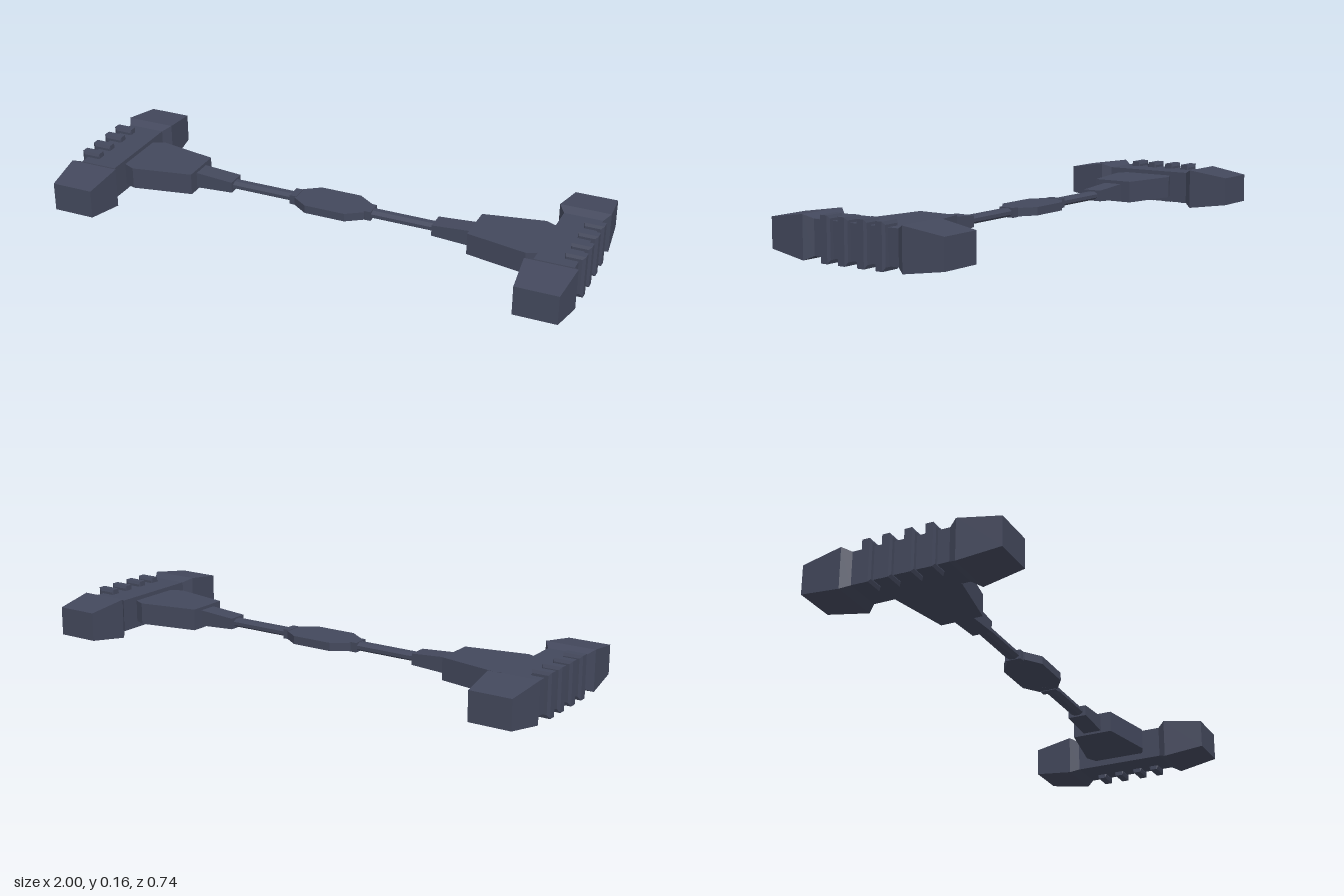
import * as THREE from 'three';

const darkSlate = new THREE.MeshStandardMaterial({ color: 0x43485c, flatShading: true });
darkSlate.name = 'darkSlate';

// Rectangular cross-sections [z, x0, x1, y0, y1] in order of rising z, joined and capped.
function loftZ(rings) {
  const corners = rings.map(([z, x0, x1, y0, y1]) => [[x0, y0, z], [x1, y0, z], [x1, y1, z], [x0, y1, z]]);
  const pos = [];
  const quad = (a, b, c, d) => pos.push(...a, ...b, ...c, ...a, ...c, ...d);
  for (let i = 0; i < corners.length - 1; i++) {
    const p = corners[i], q = corners[i + 1];
    for (let k = 0; k < 4; k++) {
      const n = (k + 1) % 4;
      quad(p[k], p[n], q[n], q[k]);
    }
  }
  const [a, b, c, d] = corners[0];
  quad(d, c, b, a);
  quad(...corners[corners.length - 1]);
  const geo = new THREE.BufferGeometry();
  geo.setAttribute('position', new THREE.Float32BufferAttribute(pos, 3));
  geo.computeVertexNormals();
  return geo;
}

// Outline [x, z] extruded upright from y0 to y1.
function slab(points, y0, y1) {
  const shape = new THREE.Shape(points.map(([x, z]) => new THREE.Vector2(x, -z)));
  const geo = new THREE.ExtrudeGeometry(shape, { depth: y1 - y0, bevelEnabled: false });
  return geo.rotateX(-Math.PI / 2).translate(0, y0, 0);
}

function add(parent, name, geo) {
  const mesh = new THREE.Mesh(geo, darkSlate);
  mesh.name = name;
  parent.add(mesh);
  return mesh;
}

function createEnd(name) {
  const end = new THREE.Group();
  end.name = name;

  // Cross bar with flared, tapering tips
  const half = [
    [0.368, 0.82, 0.98, 0.024, 0.133],
    [0.212, 0.805, 0.996, 0.002, 0.156],
    [0.18, 0.83, 0.975, 0.017, 0.141],
  ];
  const mirrored = half.map(([z, ...r]) => [-z, ...r]);
  add(end, 'crossBar', loftZ([...mirrored, ...half.slice().reverse()]));

  // Grip ribs with chamfered edges on the outer side
  for (const z of [-0.118, -0.041, 0.041, 0.116]) {
    add(end, 'gripRib', loftZ([
      [z - 0.019, 0.928, 0.988, 0.014, 0.15],
      [z - 0.014, 0.925, 0.999, 0.001, 0.161],
      [z + 0.014, 0.925, 0.999, 0.001, 0.161],
      [z + 0.019, 0.928, 0.988, 0.014, 0.15],
    ]));
  }

  // Wedge-shaped neck that meets the cross bar
  add(end, 'neck', slab([
    [0.555, -0.08], [0.785, -0.125], [0.838, -0.1],
    [0.838, 0.1], [0.785, 0.125], [0.555, 0.08],
  ], 0.042, 0.125));

  // Tapered sleeve, lofted along z and turned to lie along x
  const sleeve = loftZ([
    [0.405, -0.037, 0.037, 0.06, 0.102],
    [0.56, -0.037, 0.037, 0.051, 0.113],
  ]).rotateY(Math.PI / 2);
  add(end, 'sleeve', sleeve);

  // Flattened rod and its collar at the middle plate
  const rod = new THREE.CylinderGeometry(0.027, 0.027, 0.32, 8)
    .rotateY(Math.PI / 8).rotateZ(Math.PI / 2).scale(1, 0.62, 1).translate(0.27, 0.081, 0);
  add(end, 'rod', rod);
  add(end, 'collar', new THREE.BoxGeometry(0.028, 0.036, 0.062).translate(0.15, 0.081, 0));
  return end;
}

export function createModel() {
  const model = new THREE.Group();
  model.name = 'doubleEndedBar';

  const left = createEnd('leftEnd');
  const right = createEnd('rightEnd');
  right.rotation.y = Math.PI;
  model.add(left, right);

  // Eight-sided middle plate
  add(model, 'middlePlate', slab([
    [-0.142, -0.036], [-0.08, -0.079], [0.08, -0.079], [0.142, -0.036],
    [0.142, 0.036], [0.08, 0.079], [-0.08, 0.079], [-0.142, 0.036],
  ], 0.066, 0.097));
  return model;
}
